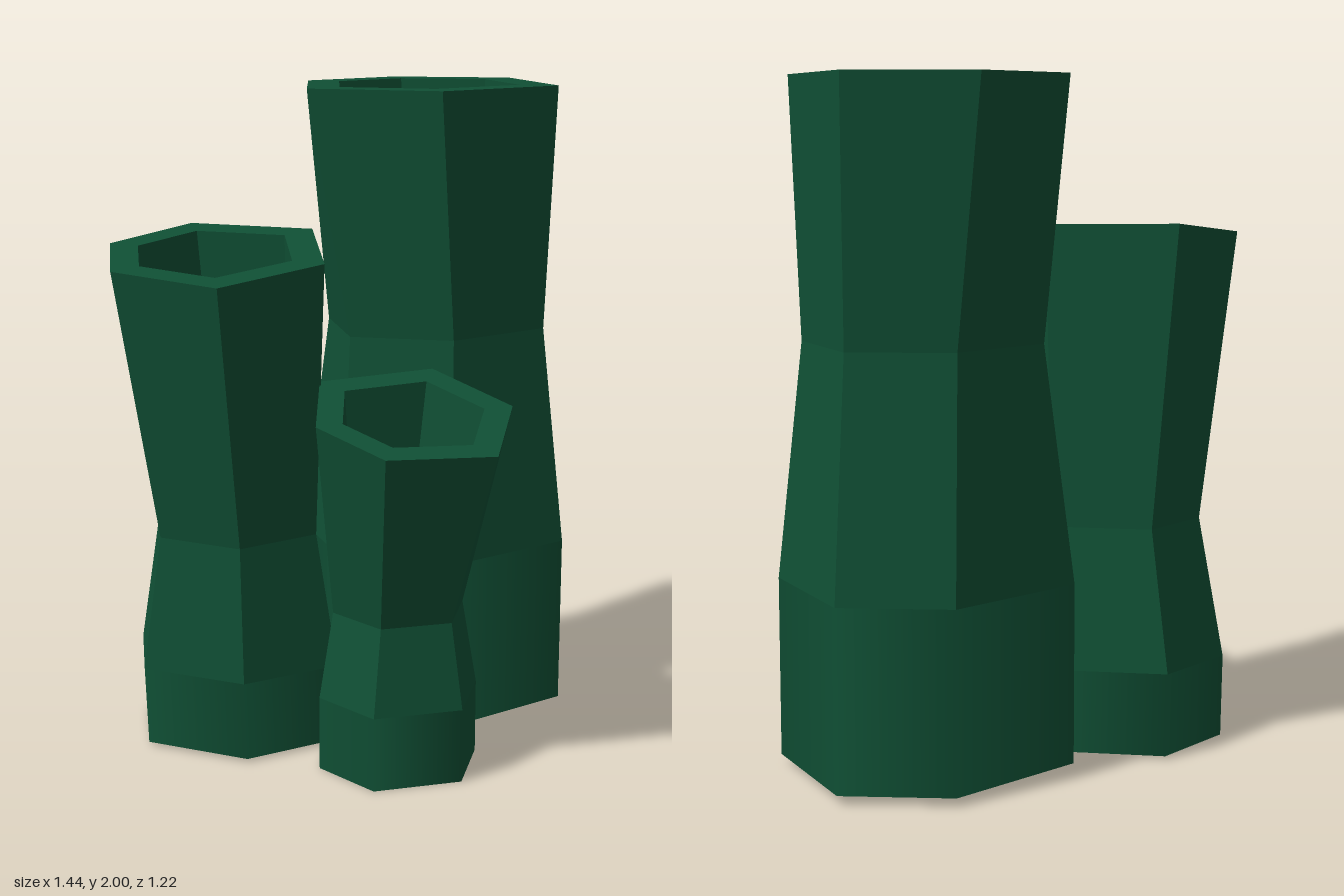
import * as THREE from 'three';

const WALL = 0.72; // inner corner distance relative to outer

// A ring: six [x, z] corners running left, front, right, back, at height y on a sloped plane.
function ring(y, corners, slopeX = 0, slopeZ = 0) {
  const cx = corners.reduce((s, p) => s + p[0], 0) / 6;
  const cz = corners.reduce((s, p) => s + p[1], 0) / 6;
  const centre = new THREE.Vector3(cx, y, cz);
  const outer = corners.map(([x, z]) =>
    new THREE.Vector3(x, y + slopeX * (x - cx) + slopeZ * (z - cz), z));
  const inner = outer.map((p) => centre.clone().lerp(p, WALL));
  return { centre, outer, inner };
}

// Same ring lifted, for the straight foot of a tube.
function lifted(base, dx, dy, dz) {
  return ring(base.centre.y + dy, base.outer.map((p) => [p.x + dx, p.z + dz]));
}

// Hollow six-sided tube open at both ends: smooth foot, faceted shaft.
function tube(name, rings, material) {
  const pos = [], nor = [];
  const quad = (pts, normals) => {
    const flat = new THREE.Vector3().subVectors(pts[2], pts[0])
      .cross(new THREE.Vector3().subVectors(pts[3], pts[1])).normalize();
    for (const k of [0, 1, 2, 0, 2, 3]) {
      pos.push(...pts[k].toArray());
      nor.push(...(normals ? normals[k] : flat).toArray());
    }
  };
  const radial = (p, r, sign) =>
    new THREE.Vector3(p.x - r.centre.x, 0, p.z - r.centre.z).normalize().multiplyScalar(sign);

  const last = rings.length - 1;
  for (let i = 0; i < 6; i++) {
    const j = (i + 1) % 6;
    // walls
    for (let k = 0; k < last; k++) {
      const lo = rings[k], hi = rings[k + 1];
      for (const [side, sign] of [['outer', 1], ['inner', -1]]) {
        const [a, b] = sign > 0 ? [i, j] : [j, i];
        const pts = [lo[side][a], lo[side][b], hi[side][b], hi[side][a]];
        const rs = [lo, lo, hi, hi];
        quad(pts, k === 0 ? pts.map((p, n) => radial(p, rs[n], sign)) : null);
      }
    }
    // rims
    const top = rings[last], bot = rings[0];
    quad([top.outer[i], top.outer[j], top.inner[j], top.inner[i]]);
    quad([bot.outer[j], bot.outer[i], bot.inner[i], bot.inner[j]]);
  }
  const geo = new THREE.BufferGeometry();
  geo.setAttribute('position', new THREE.Float32BufferAttribute(pos, 3));
  geo.setAttribute('normal', new THREE.Float32BufferAttribute(nor, 3));
  const mesh = new THREE.Mesh(geo, material);
  mesh.name = name;
  return mesh;
}

export function createModel() {
  const group = new THREE.Group();
  group.name = 'tubeCluster';
  const green = new THREE.MeshStandardMaterial({ color: 0x105035 });

  // Tall tube at the back
  const tallFoot = ring(0.03, [[-0.01, -0.05], [0.3, 0.115], [0.72, -0.04], [0.69, -0.455], [0.395, -0.605], [-0.03, -0.46]]);
  group.add(tube('tallTube', [
    tallFoot,
    lifted(tallFoot, 0, 0.53, 0),
    ring(1.25, [[0.03, -0.09], [0.315, 0.055], [0.65, -0.07], [0.64, -0.41], [0.36, -0.535], [0.05, -0.42]]),
    ring(2, [[-0.1, -0.1], [0.25, 0.12], [0.67, -0.04], [0.66, -0.455], [0.32, -0.61], [0, -0.48]]),
  ], green));

  // Medium tube leaning to the side
  const midFoot = ring(0.015, [[-0.625, -0.05], [-0.36, 0.16], [-0.05, 0.08], [-0.02, -0.28], [-0.325, -0.47], [-0.58, -0.35]]);
  group.add(tube('mediumTube', [
    midFoot,
    lifted(midFoot, -0.01, 0.245, 0.01),
    ring(0.68, [[-0.58, -0.02], [-0.375, 0.16], [-0.12, 0.07], [-0.07, -0.22], [-0.32, -0.38], [-0.54, -0.27]]),
    ring(1.535, [[-0.72, 0.06], [-0.465, 0.325], [-0.125, 0.2], [-0.065, -0.18], [-0.4, -0.38], [-0.675, -0.24]], 0.06, -0.12),
  ], green));

  // Short tube leaning forward
  const shortFoot = ring(0.005, [[-0.16, 0.26], [-0.05, 0.465], [0.22, 0.465], [0.335, 0.25], [0.17, 0.04], [-0.08, 0.08]]);
  group.add(tube('shortTube', [
    shortFoot,
    lifted(shortFoot, 0, 0.225, 0),
    ring(0.49, [[-0.115, 0.25], [-0.02, 0.43], [0.195, 0.43], [0.29, 0.245], [0.17, 0.06], [-0.04, 0.08]]),
    ring(1.1, [[-0.2, 0.385], [-0.055, 0.59], [0.265, 0.61], [0.405, 0.335], [0.24, 0.08], [-0.12, 0.12]], 0, -0.27),
  ], green));

  return group;
}
